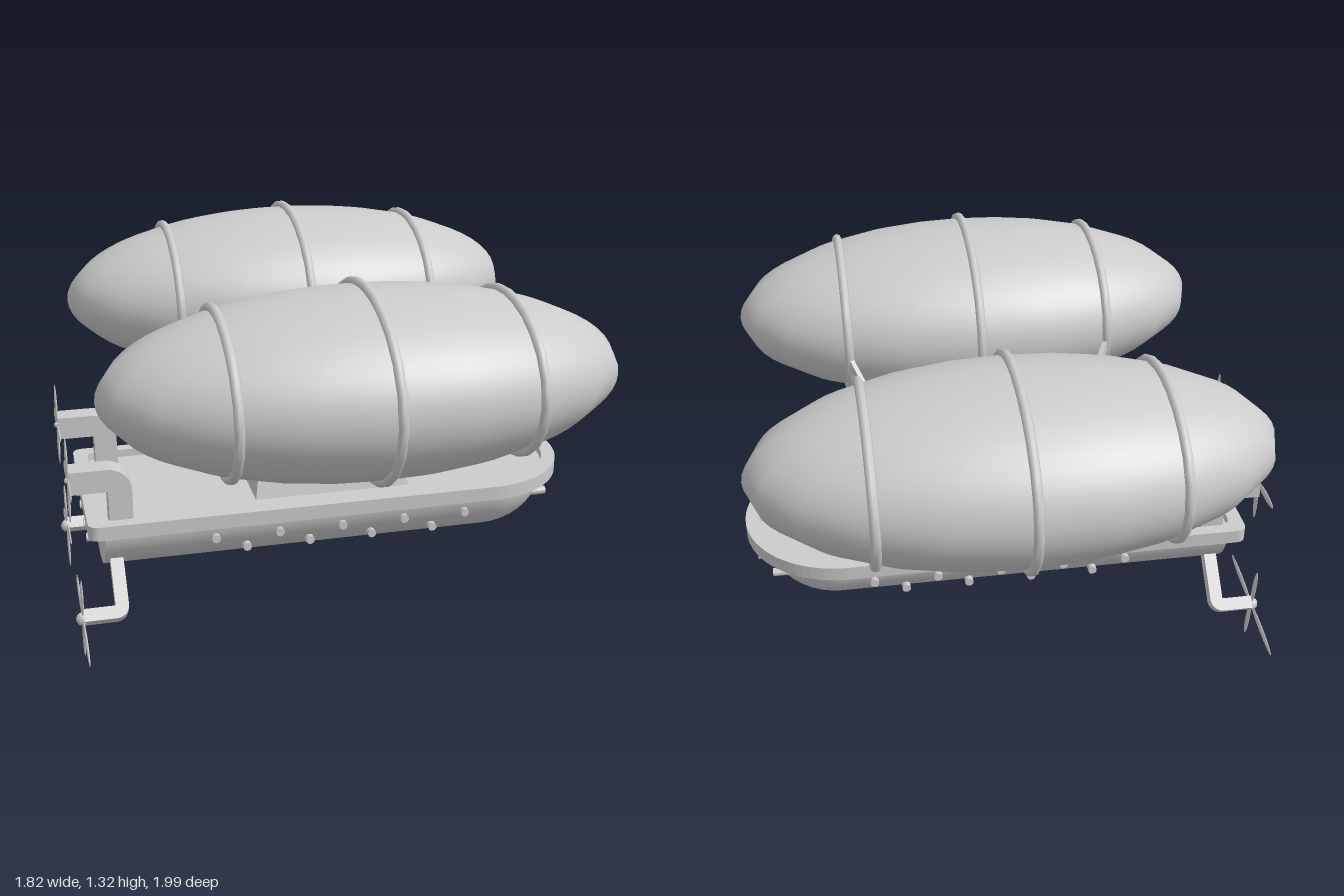
import * as THREE from 'three';
import { ConvexGeometry } from 'three/addons/geometries/ConvexGeometry.js';

const grey = new THREE.MeshStandardMaterial({ color: 0xcccccc });
const flat = new THREE.MeshStandardMaterial({ color: 0xcccccc, flatShading: true });
const V = (x, y, z) => new THREE.Vector3(x, y, z);

function add(parent, name, geometry, material = grey, x = 0, y = 0, z = 0) {
  const mesh = new THREE.Mesh(geometry, material);
  mesh.name = name;
  mesh.position.set(x, y, z);
  parent.add(mesh);
  return mesh;
}

// Deck plan: square stern with rounded corners, semicircular bow
function plan(half, stern, bow, Path = THREE.Shape) {
  const s = new Path(), r = 0.04;
  s.moveTo(stern + r, -half);
  s.lineTo(bow - half, -half);
  s.absarc(bow - half, 0, half, -Math.PI / 2, Math.PI / 2, false);
  s.lineTo(stern + r, half);
  s.quadraticCurveTo(stern, half, stern, half - r);
  s.lineTo(stern, r - half);
  s.quadraticCurveTo(stern, -half, stern + r, -half);
  return s;
}

function slab(shape, depth) {
  return new THREE.ExtrudeGeometry(shape, { depth, bevelEnabled: false, curveSegments: 20 }).rotateX(-Math.PI / 2);
}

// Half-elliptical hull sections closing into a rounded bow
function hullGeometry() {
  const stations = [[-0.795, 1]], pos = [], index = [], n = 24, steps = 12;
  for (let i = 0; i <= steps; i++) {
    const a = (i / steps) * Math.PI / 2;
    stations.push([0.585 + 0.265 * Math.sin(a), Math.max(Math.cos(a), 0.001)]);
  }
  stations.forEach(([x, s], i) => {
    for (let j = 0; j <= n; j++) {
      const a = (j / n) * Math.PI;
      pos.push(x, 0.44 - 0.215 * s * Math.sin(a), 0.3 * s * Math.cos(a));
      if (i && j) {
        const d = i * (n + 1) + j, c = d - 1, b = d - n - 1, a0 = b - 1;
        index.push(a0, b, c, b, d, c);
      }
    }
  });
  const g = new THREE.BufferGeometry();
  g.setAttribute('position', new THREE.Float32BufferAttribute(pos, 3));
  g.setIndex(index);
  g.computeVertexNormals();
  return g;
}

// Square-section bent arm: runs back along -x from the bend, leg along +y
function elbow(w, back, leg) {
  const h = w / 2, s = new THREE.Shape();
  s.moveTo(-back, -h);
  s.lineTo(h - w, -h);
  s.absarc(h - w, h, w, -Math.PI / 2, 0, false);
  s.lineTo(h, leg);
  s.lineTo(-h, leg);
  s.lineTo(-h, h);
  s.lineTo(-back, h);
  return new THREE.ExtrudeGeometry(s, { depth: w, bevelEnabled: false, curveSegments: 6 }).translate(0, 0, -h);
}

// Four-bladed propeller facing along x
function propeller(rz, ry, hub, tilt) {
  const g = new THREE.Group();
  g.name = 'propeller';
  for (let i = 0; i < 4; i++) {
    const r = i % 2 ? rz : ry;
    const blade = new THREE.SphereGeometry(1, 10, 8).scale(0.005, r / 2, 0.016).translate(0, r / 2, 0);
    add(g, 'blade', blade).rotation.x = tilt + i * Math.PI / 2;
  }
  add(g, 'hub', new THREE.SphereGeometry(hub, 10, 8));
  return g;
}

function strut(parent, from, to) {
  const m = add(parent, 'balloonStrut', new THREE.BoxGeometry(0.016, 0.035, from.distanceTo(to)));
  m.position.copy(from).lerp(to, 0.5);
  m.lookAt(to);
}

function balloon(side) {
  const g = new THREE.Group();
  g.name = side > 0 ? 'leftBalloon' : 'rightBalloon';
  const c = 0.025, rx = 0.845, ry = 0.295, rz = 0.42;
  add(g, 'envelope', new THREE.SphereGeometry(1, 20, 32).scale(rx, ry, rz), grey, c, 0, 0);
  // Bands round the envelope
  for (const x of [-0.44, 0.025, 0.49]) {
    const k = Math.sqrt(1 - ((x - c) / rx) ** 2), pts = [];
    for (let i = 0; i < 24; i++) {
      const a = (i / 24) * Math.PI * 2;
      pts.push(V(x, (ry * k + 0.006) * Math.sin(a), (rz * k + 0.008) * Math.cos(a)));
    }
    add(g, 'band', new THREE.TubeGeometry(new THREE.CatmullRomCurve3(pts, true), 24, 0.016, 8, true));
  }
  g.position.set(0, 1.005, side * 0.553);
  return g;
}

export function createModel() {
  const model = new THREE.Group();
  model.name = 'airship';

  // Hull, deck and raised rim
  add(model, 'hull', hullGeometry());
  add(model, 'stern', new THREE.CircleGeometry(1, 24, Math.PI, Math.PI).scale(0.3, 0.215, 1).rotateY(-Math.PI / 2),
    grey, -0.795, 0.44, 0);
  add(model, 'deck', slab(plan(0.32, -0.83, 0.88), 0.02), grey, 0, 0.437, 0);
  const rim = plan(0.345, -0.85, 0.905);
  rim.holes.push(plan(0.3, -0.8, 0.855, THREE.Path));
  add(model, 'rim', slab(rim, 0.05), grey, 0, 0.435, 0);

  // Cabin with sloping walls and a wedge front
  const cabin = [];
  for (const s of [-1, 1]) {
    cabin.push(V(-0.26, 0.45, s * 0.195), V(0.3, 0.45, s * 0.195), V(-0.23, 0.622, s * 0.15), V(0.23, 0.622, s * 0.15));
  }
  cabin.push(V(0.4, 0.45, 0), V(0.28, 0.622, 0));
  add(model, 'cabin', new ConvexGeometry(cabin), flat);

  // Mast and spine carrying the balloons
  add(model, 'mast', new THREE.BoxGeometry(0.085, 0.23, 0.035), grey, 0.025, 0.715, 0);
  add(model, 'spine', new THREE.BoxGeometry(0.72, 0.035, 0.035), grey, 0.04, 0.825, 0);

  // Short pipes along the bow and stern
  const pipe = (len) => new THREE.CylinderGeometry(0.015, 0.015, len, 10);
  for (const s of [-1, 1]) {
    for (const [x, z] of [[0.82, 0.08], [0.77, 0.19], [-0.8, 0.08], [-0.8, 0.19]]) {
      add(model, 'endPipe', pipe(0.1), grey, x, 0.38, s * z).rotation.z = Math.PI / 2;
    }
    // Two staggered rows along each side
    for (let i = 0; i < 9; i++) {
      const low = i % 2;
      add(model, 'sidePipe', pipe(0.07), grey, -0.42 + i * 0.1115, low ? 0.325 : 0.38, s * (low ? 0.25 : 0.275))
        .rotation.x = Math.PI / 2;
    }

    model.add(balloon(s));
    strut(model, V(-0.31, 0.825, 0), V(-0.44, 0.985, s * 0.2));
    strut(model, V(0.39, 0.825, 0), V(0.49, 0.985, s * 0.2));

    // Upper engine arm and propeller
    add(model, 'upperArm', elbow(0.08, 0.165, 0.21), grey, -0.735, 0.625, s * 0.25).rotation.x = Math.PI;
    const upper = propeller(0.165, 0.155, 0.012, 0);
    upper.position.set(-0.902, 0.625, s * 0.255);
    model.add(upper);

    // Lower engine arm, angled out from the hull, and propeller
    add(model, 'lowerArm', elbow(0.045, 0.13, 0.25), grey, -0.755, 0.17, s * 0.365).rotation.x = -s * 0.79;
    const lower = propeller(0.247, 0.162, 0.024, s * 0.17);
    lower.position.set(-0.888, 0.165, s * 0.365);
    model.add(lower);
  }
  return model;
}
